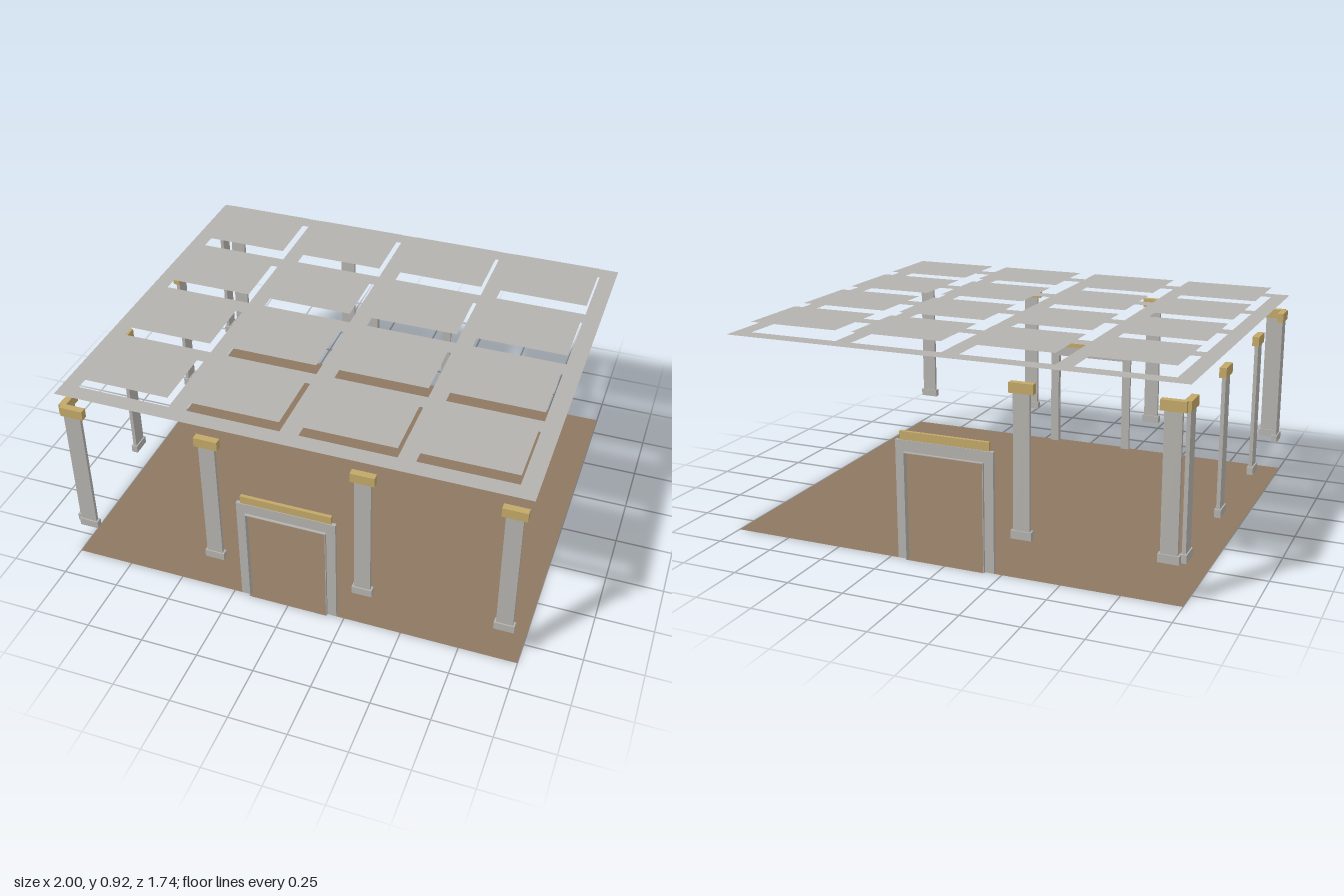
import * as THREE from 'three';

const mat = (name, color, side = THREE.FrontSide) => {
  const m = new THREE.MeshStandardMaterial({ color, side });
  m.name = name;
  return m;
};

export function createModel() {
  const stone = mat('grey stone', 0xb4b2ad);
  const plaster = mat('grey plaster', 0xb4b2ad, THREE.DoubleSide);
  const gold = mat('gold trim', 0xc2a869);
  const earth = mat('brown floor', 0x8e7761, THREE.DoubleSide);

  const W = 1, D = 0.857, CEILING = 0.873, RAISE = 0.045;
  const root = new THREE.Group();
  root.name = 'pillaredRoom';

  const add = (parent, name, geometry, material, x = 0, y = 0, z = 0) => {
    const mesh = new THREE.Mesh(geometry, material);
    mesh.name = name;
    mesh.position.set(x, y, z);
    parent.add(mesh);
    return mesh;
  };
  // box given by its width, bottom, top and depth range
  const slab = (parent, name, material, x, w, y0, y1, z0, z1) =>
    add(parent, name, new THREE.BoxGeometry(w, y1 - y0, z1 - z0), material, x, (y0 + y1) / 2, (z0 + z1) / 2);
  const flat = (w, d) => new THREE.PlaneGeometry(w, d).rotateX(-Math.PI / 2);

  // floor
  add(root, 'floor', flat(2 * W, 2 * D), earth);

  // ceiling grid with raised panels over its openings
  const grid = new THREE.Shape([[-W, -D], [W, -D], [W, D], [-W, D]].map(p => new THREE.Vector2(...p)));
  const pw = 0.406, pd = 0.335;
  for (const x of [-0.7235, -0.243, 0.243, 0.7235]) {
    for (const z of [-0.615, -0.2075, 0.2075, 0.615]) {
      const a = pw / 2, b = pd / 2;
      grid.holes.push(new THREE.Path(
        [[x - a, z - b], [x - a, z + b], [x + a, z + b], [x + a, z - b]].map(p => new THREE.Vector2(...p))));
      add(root, 'ceilingPanel', flat(pw, pd), plaster, x, CEILING + RAISE, z);
    }
  }
  add(root, 'ceilingGrid', new THREE.ShapeGeometry(grid).rotateX(-Math.PI / 2), plaster, 0, CEILING, 0);

  // pilaster standing against a wall; its local +z points out of the room
  const pilaster = (name, x, z, turn) => {
    const g = new THREE.Group();
    g.name = name;
    slab(g, 'base', stone, 0, 0.086, 0.165, 0.2, -0.028, 0);
    slab(g, 'shaft', stone, 0, 0.07, 0.2, 0.765, -0.022, -0.006);
    slab(g, 'cap', gold, 0, 0.102, 0.763, 0.805, -0.03, 0);
    g.position.set(x, 0, z);
    g.rotation.y = turn;
    root.add(g);
  };
  for (const x of [-0.935, -0.333, 0.328, 0.93]) pilaster('frontPilaster', x, D, 0);
  for (const x of [-0.935, -0.333]) pilaster('backPilaster', x, -D, Math.PI);
  for (const z of [-0.79, -0.285, 0.285, 0.79]) pilaster('sidePilaster', -W, z, -Math.PI / 2);

  // doorway with jambs, lintel, gold trim and a shallow reveal
  for (const [name, turn] of [['frontDoorway', 0], ['backDoorway', Math.PI]]) {
    const g = new THREE.Group();
    g.name = name;
    for (const s of [-1, 1]) {
      slab(g, 'jamb', stone, s * 0.195, 0.042, 0, 0.513, -0.016, 0);
      slab(g, 'revealSide', stone, s * 0.175, 0.003, 0, 0.465, 0, 0.011);
    }
    slab(g, 'lintel', stone, 0, 0.35, 0.465, 0.515, -0.014, 0);
    slab(g, 'revealTop', stone, 0, 0.35, 0.463, 0.466, 0, 0.011);
    slab(g, 'headTrim', gold, 0, 0.395, 0.514, 0.55, -0.018, -0.003);
    add(g, 'threshold', flat(0.35, 0.011), earth, 0, 0, 0.0055);
    g.position.z = Math.cos(turn) * D;
    g.rotation.y = turn;
    root.add(g);
  }
  return root;
}
